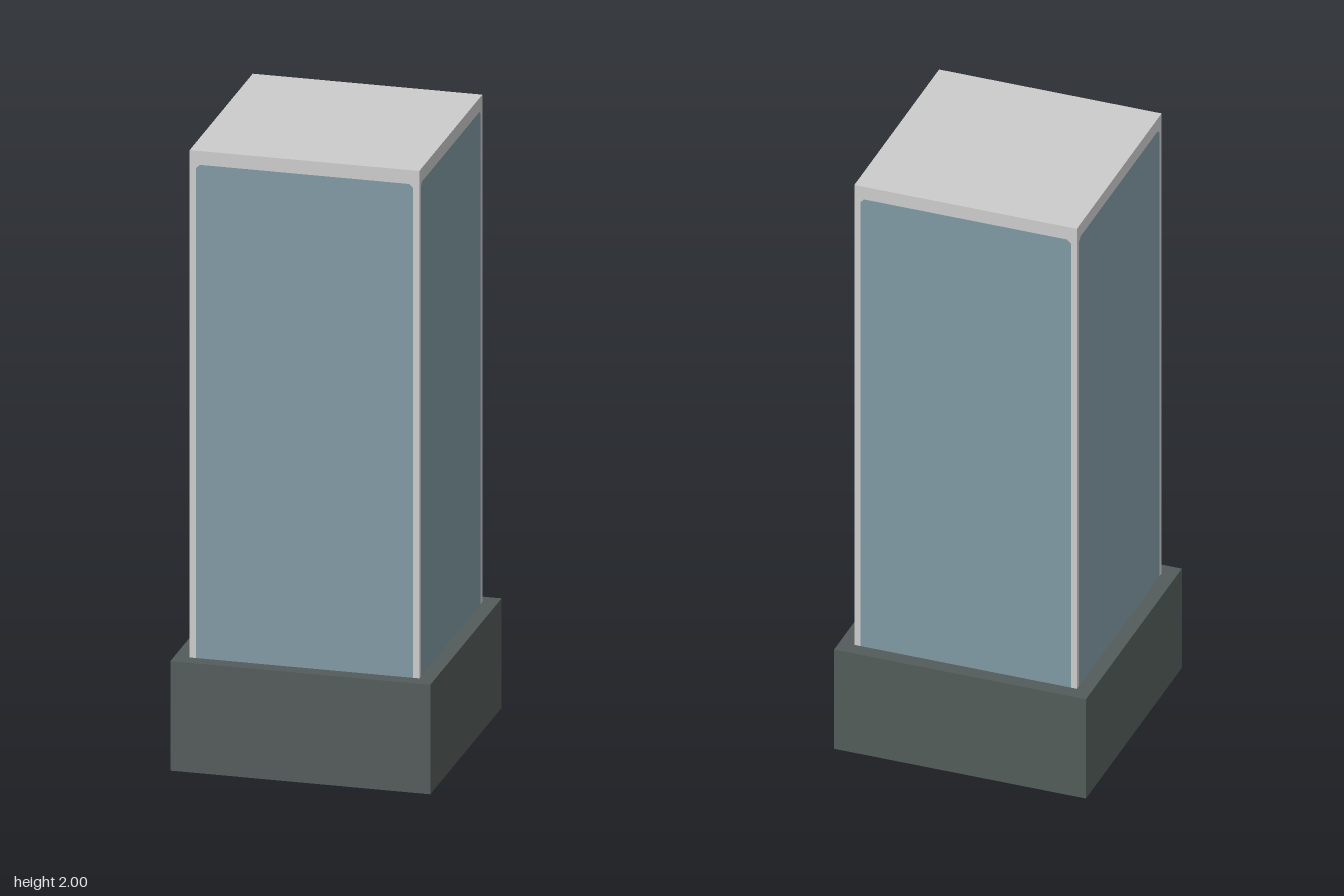
import * as THREE from 'three';

const BASE = 0.412, TOWER = 0.364, GLASS = 0.344; // half widths
const BASE_TOP = 0.355, GLASS_TOP = 1.955, TOP = 2;

const material = (name, color) => new THREE.MeshStandardMaterial({ name, color, side: THREE.DoubleSide });

// Flat outline from corner points
const outline = (points) => new THREE.Shape(points.map(([x, y]) => new THREE.Vector2(x, y)));
const rect = (w, y0, y1) => [[-w, y0], [w, y0], [w, y1], [-w, y1]];

export function createModel() {
  const stone = material('dark stone', 0x535c5a);
  const frame = material('pale frame', 0xcccccc);
  const glass = material('blue glass', 0x8099a3);

  const model = new THREE.Group();
  model.name = 'towerBlock';
  const add = (parent, name, shape, mat) => {
    const mesh = new THREE.Mesh(new THREE.ShapeGeometry(shape), mat);
    mesh.name = name;
    parent.add(mesh);
    return mesh;
  };

  // Glass sheet with slightly clipped upper corners
  const c = 0.012;
  const glassPoints = [[-GLASS, BASE_TOP], [GLASS, BASE_TOP], [GLASS, GLASS_TOP - c],
    [GLASS - c, GLASS_TOP], [c - GLASS, GLASS_TOP], [-GLASS, GLASS_TOP - c]];
  // Frame runs up both sides and over the glass
  const framePoints = [[-TOWER, BASE_TOP], ...[glassPoints[0], glassPoints[5], glassPoints[4],
    glassPoints[3], glassPoints[2], glassPoints[1]], [TOWER, BASE_TOP], [TOWER, TOP], [-TOWER, TOP]];

  // Four identical sides
  ['front', 'left', 'back', 'right'].forEach((side, i) => {
    const group = new THREE.Group();
    group.name = side + 'Side';
    group.rotation.y = i * Math.PI / 2;
    add(group, 'baseWall', outline(rect(BASE, 0, BASE_TOP)), stone).position.z = BASE;
    add(group, 'wallFrame', outline(framePoints), frame).position.z = TOWER;
    add(group, 'windowWall', outline(glassPoints), glass).position.z = TOWER;
    model.add(group);
  });

  // Ledge around the tower foot; the shell is open underneath
  const ring = outline(rect(BASE, -BASE, BASE));
  ring.holes.push(outline(rect(TOWER, -TOWER, TOWER)));
  const ledge = add(model, 'baseLedge', ring, stone);
  ledge.rotation.x = -Math.PI / 2;
  ledge.position.y = BASE_TOP;

  // Flat roof
  const roof = add(model, 'roof', outline(rect(TOWER, -TOWER, TOWER)), frame);
  roof.rotation.x = -Math.PI / 2;
  roof.position.y = TOP;

  return model;
}
